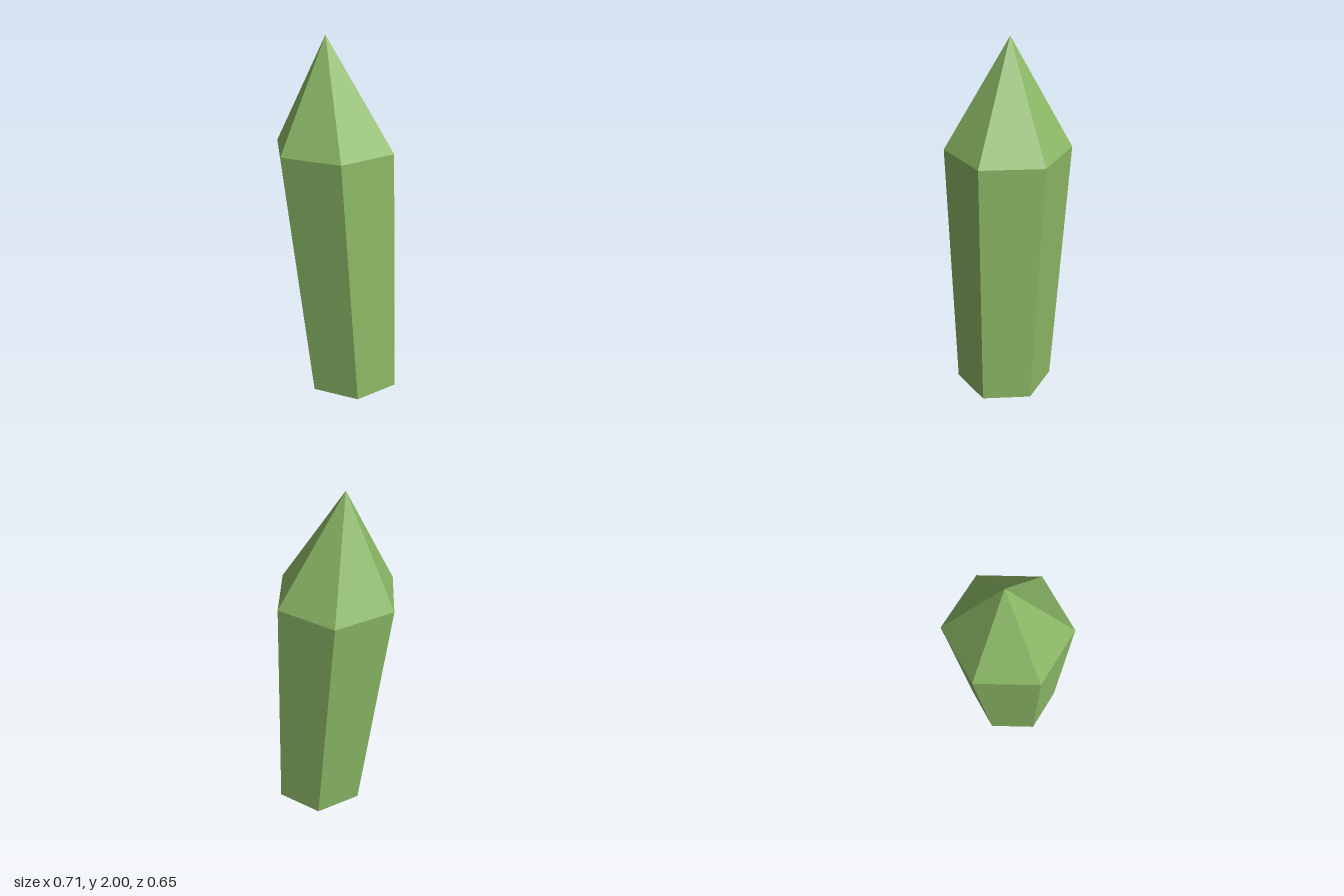
import * as THREE from 'three';

const SIDES = 6;
const TWIST = THREE.MathUtils.degToRad(-9.2);

// Centre line of the leaning crystal: base, shoulder, apex
const BASE = new THREE.Vector3(0.086, 0, -0.042);
const SHOULDER = new THREE.Vector3(-0.013, 1.4, -0.001);
const APEX = new THREE.Vector3(-0.055, 2, 0.017);
const BASE_RADIUS = 0.27;
const SHOULDER_RADIUS = 0.346;

// Open six-sided section, sheared so its axis runs from one point to the other
function section(from, to, bottomRadius, topRadius) {
  const height = to.y - from.y;
  const geo = new THREE.CylinderGeometry(
    topRadius, bottomRadius, height, SIDES, 1, true, Math.PI / 2 - TWIST);
  geo.translate(0, height / 2, 0);
  const pos = geo.attributes.position;
  for (let i = 0; i < pos.count; i++) {
    const t = pos.getY(i) / height;
    pos.setXYZ(i,
      pos.getX(i) + THREE.MathUtils.lerp(from.x, to.x, t),
      pos.getY(i) + from.y,
      pos.getZ(i) + THREE.MathUtils.lerp(from.z, to.z, t));
  }
  const flat = geo.toNonIndexed();
  flat.computeVertexNormals();
  return flat;
}

export function createModel() {
  const group = new THREE.Group();
  group.name = 'crystal';
  const green = new THREE.MeshStandardMaterial({ color: 0x8cb866 });
  green.name = 'crystalGreen';

  const add = (name, geo) => {
    const mesh = new THREE.Mesh(geo, green);
    mesh.name = name;
    group.add(mesh);
  };

  // Flaring shaft
  add('shaft', section(BASE, SHOULDER, BASE_RADIUS, SHOULDER_RADIUS));

  // Pointed tip
  add('tip', section(SHOULDER, APEX, SHOULDER_RADIUS, 0));

  // Flat underside
  const underside = new THREE.CircleGeometry(BASE_RADIUS, SIDES, TWIST);
  underside.rotateX(Math.PI / 2).translate(BASE.x, BASE.y, BASE.z);
  add('underside', underside);

  return group;
}
